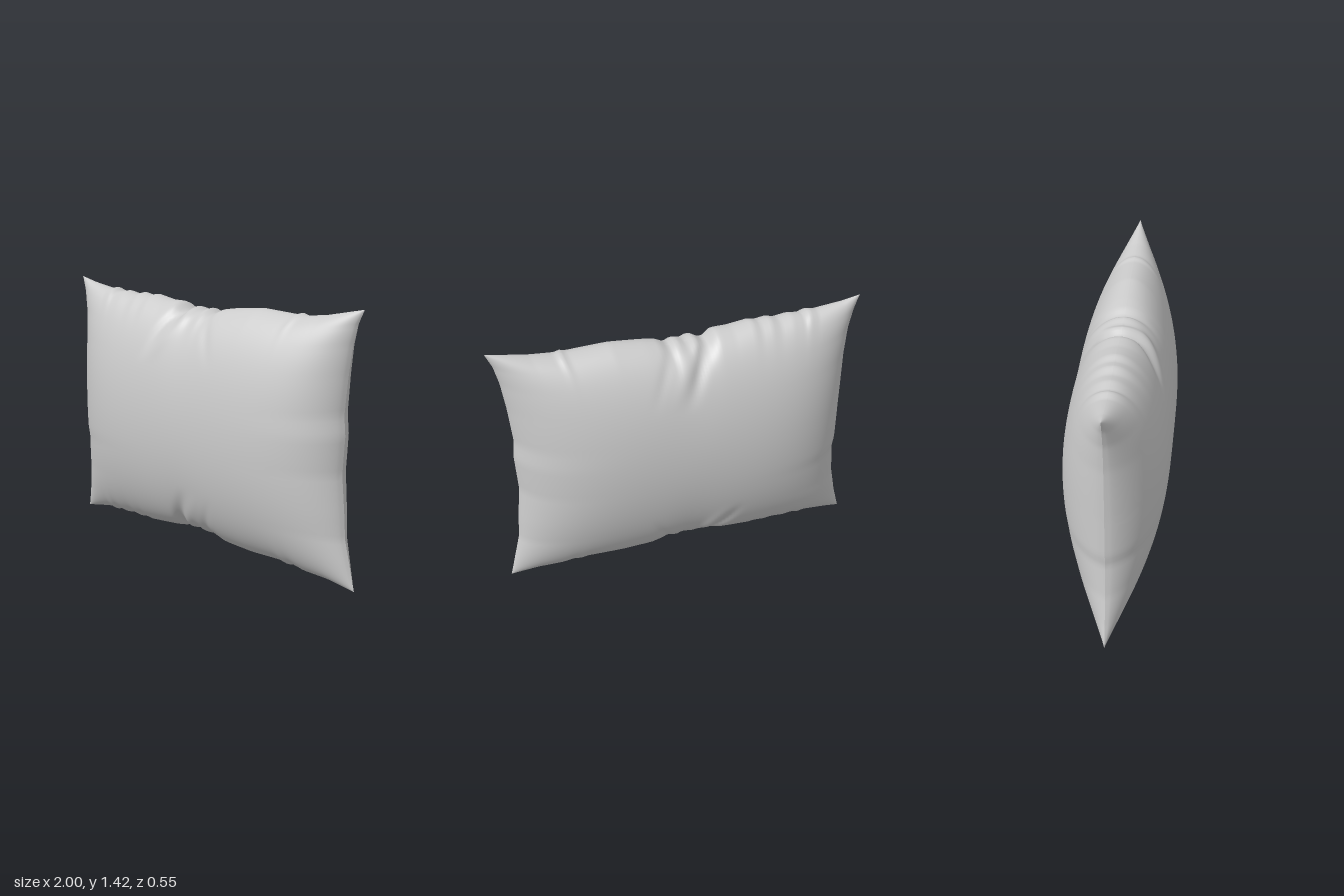
import * as THREE from 'three';

// Seam outlines as [position along edge, offset] pairs
const TOP = [[-1, 1.425], [-0.9, 1.4], [-0.75, 1.375], [-0.7, 1.385], [-0.67, 1.365], [-0.6, 1.375],
  [-0.53, 1.36], [-0.48, 1.375], [-0.42, 1.363], [-0.38, 1.375], [-0.27, 1.355], [-0.18, 1.355],
  [-0.12, 1.305], [-0.06, 1.34], [-0.02, 1.32], [0.04, 1.34], [0.07, 1.31], [0.13, 1.34], [0.2, 1.352],
  [0.38, 1.372], [0.6, 1.362], [0.63, 1.372], [0.66, 1.362], [0.78, 1.377], [1, 1.425]];
const BOTTOM = [[-1, 0], [-0.9, 0.023], [-0.75, 0.053], [-0.7, 0.045], [-0.67, 0.063], [-0.6, 0.053],
  [-0.53, 0.067], [-0.48, 0.057], [-0.42, 0.067], [-0.38, 0.06], [-0.2, 0.08], [-0.12, 0.09],
  [-0.09, 0.13], [-0.06, 0.14], [-0.02, 0.105], [0.04, 0.12], [0.07, 0.09], [0.13, 0.115], [0.21, 0.07],
  [0.38, 0.06], [0.58, 0.068], [0.62, 0.055], [0.66, 0.065], [0.72, 0.047], [0.85, 0.04], [1, 0.01]];
const RIGHT = [[0, 1], [0.13, 0.965], [0.3, 0.93], [0.5, 0.912], [0.56, 0.922], [0.8, 0.923],
  [1.1, 0.93], [1.25, 0.945], [1.35, 0.97], [1.425, 1]];
const LEFT = [[0, 1], [0.15, 0.965], [0.27, 0.935], [0.4, 0.925], [0.6, 0.905], [0.8, 0.915],
  [0.9, 0.905], [1.1, 0.922], [1.25, 0.942], [1.35, 0.966], [1.425, 1]];

function sample(table, t) {
  let i = 1;
  while (i < table.length - 1 && t > table[i][0]) i++;
  const [a, p] = table[i - 1], [b, q] = table[i];
  return p + (q - p) * THREE.MathUtils.clamp((t - a) / (b - a), 0, 1);
}

const gauss = (d, w) => Math.exp(-((d / w) ** 2));
// Smooth sag of the long seams, without the small puckers
const sag = (u) => 0.065 - 0.065 * u ** 4 + 0.025 * gauss(u, 0.15);

// Folds running inwards from the gathered middle of the long seams
function folds(x, v, side) {
  const reach = THREE.MathUtils.smoothstep(Math.abs(v), 0.5, 0.92);
  const inward = 1 - Math.abs(v);
  const lean = side * Math.sign(v) > 0 ? -0.35 : 0.3;
  const main = gauss(x + 0.11 - lean * inward, 0.035);
  const ridge = gauss(x + 0.03 - lean * inward, 0.04);
  const small = gauss(x - 0.08 - 0.3 * inward, 0.025);
  return reach * (0.012 * ridge - 0.022 * main - 0.008 * small);
}

function surfacePoint(u, v, side) {
  const low = sag(u), high = 1.425 - sag(u);
  let y = (low + high) / 2 + v * (high - low) / 2;
  const pucker = v > 0 ? sample(TOP, u) - high : sample(BOTTOM, u) - low;
  y += pucker * Math.abs(v) ** 10;
  const x = u * sample(u > 0 ? LEFT : RIGHT, 0.7125 + 0.7125 * v);
  const body = (1 - v * v) ** 0.5 * (1 - u ** 4) ** 0.65;
  const z = 0.277 * body + folds(x, v, side) * Math.min(1, body * 3);
  return [x, y, side * Math.max(0, z)];
}

// One puffed cloth panel, denser towards its seams
function panel(name, side, material) {
  const nu = 160, nv = 80, positions = [], index = [];
  for (let j = 0; j <= nv; j++) {
    const v = Math.sin((j / nv - 0.5) * Math.PI);
    for (let i = 0; i <= nu; i++) {
      const s = (2 * i) / nu - 1;
      const u = 0.5 * s + 0.5 * Math.sin(s * Math.PI / 2);
      positions.push(...surfacePoint(u, v, side));
      if (i < nu && j < nv) {
        const a = j * (nu + 1) + i, b = a + 1, c = a + nu + 1, d = c + 1;
        if (side > 0) index.push(a, b, d, a, d, c);
        else index.push(a, d, b, a, c, d);
      }
    }
  }
  const geometry = new THREE.BufferGeometry();
  geometry.setAttribute('position', new THREE.Float32BufferAttribute(positions, 3));
  geometry.setIndex(index);
  geometry.computeVertexNormals();
  const mesh = new THREE.Mesh(geometry, material);
  mesh.name = name;
  return mesh;
}

export function createModel() {
  const group = new THREE.Group();
  group.name = 'pillow';
  const material = new THREE.MeshStandardMaterial({ color: 0xcccccc });
  group.add(panel('frontPanel', 1, material), panel('backPanel', -1, material));
  return group;
}
